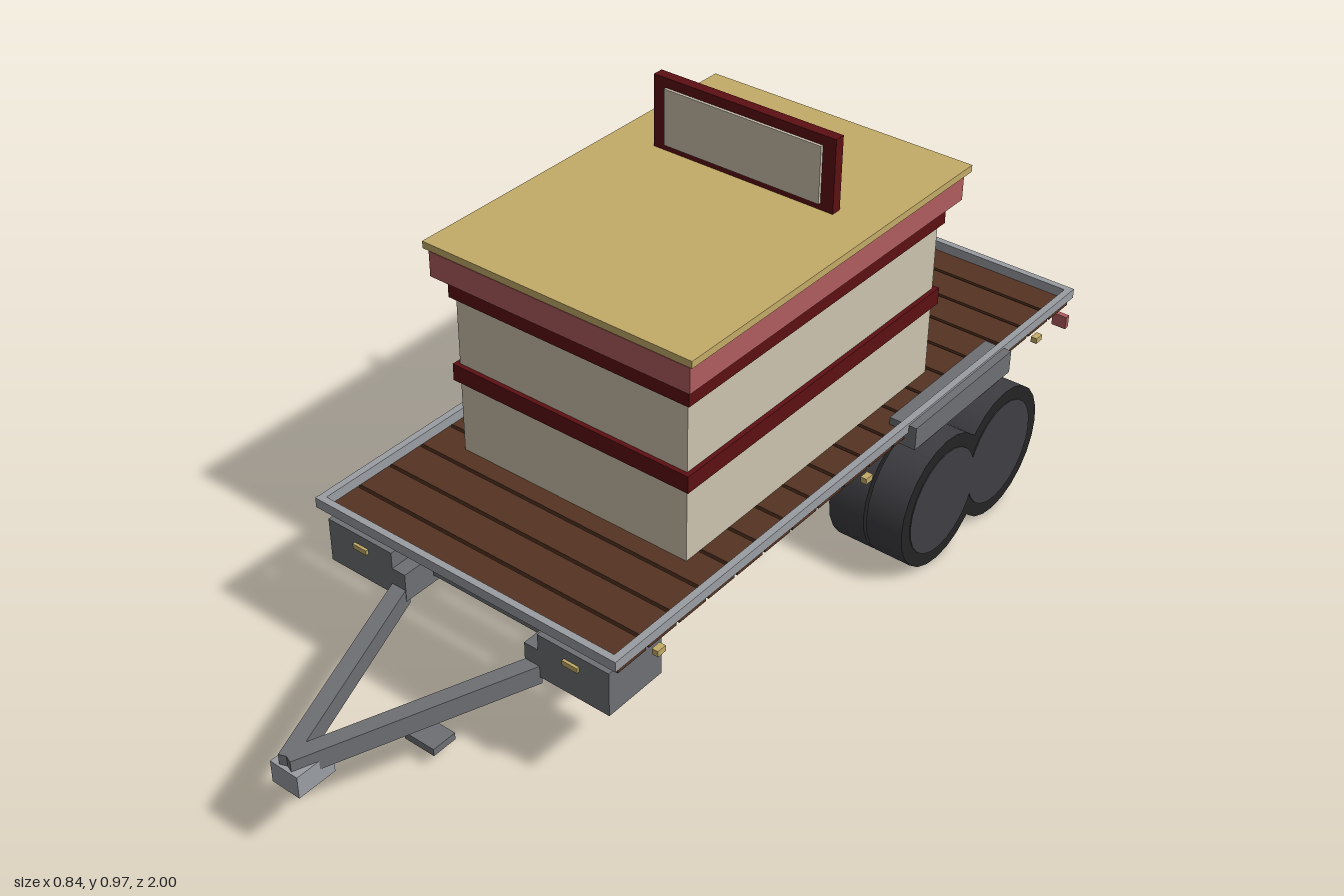
import * as THREE from 'three';

const mat = (name, color) => {
  const m = new THREE.MeshStandardMaterial({ color });
  m.name = name;
  return m;
};

export function createModel() {
  const root = new THREE.Group();
  root.name = 'trailerWithBooth';
  const cream = mat('cream', 0xcdc3ae), tan = mat('tan', 0xc4ac68);
  const maroon = mat('maroon', 0x5c0f12), pink = mat('dustyRed', 0xb05c5e);
  const wood = mat('wood', 0x553422), steel = mat('steel', 0x6e6f74);
  const pale = mat('paleSteel', 0x9a9da2), rubber = mat('rubber', 0x3e3e43);
  const black = mat('blackRubber', 0x232325);

  // Box given by its min and max on each axis
  const box = (name, m, x0, x1, y0, y1, z0, z1) => {
    const mesh = new THREE.Mesh(new THREE.BoxGeometry(x1 - x0, y1 - y0, z1 - z0), m);
    mesh.position.set((x0 + x1) / 2, (y0 + y1) / 2, (z0 + z1) / 2);
    mesh.name = name;
    root.add(mesh);
    return mesh;
  };
  const wide = (name, m, hx, y0, y1, z0, z1) => box(name, m, -hx, hx, y0, y1, z0, z1);
  // The same box on both sides
  const pair = (name, m, x0, x1, ...r) => {
    box(name + 'Left', m, x0, x1, ...r);
    box(name + 'Right', m, -x1, -x0, ...r);
  };

  // Plank deck with a pale rim
  for (let i = 0; i < 18; i++) {
    const z = -0.985 + i * 0.085;
    wide('deckPlank', wood, 0.358, 0.314, 0.333, z + 0.004, z + 0.081);
  }
  pair('sideRail', pale, 0.352, 0.367, 0.333, 0.355, -0.987, 0.558);
  wide('frontRail', pale, 0.352, 0.333, 0.355, 0.543, 0.558);
  wide('rearRail', pale, 0.352, 0.333, 0.355, -0.987, -0.972);

  // Chassis beams and crossmembers
  pair('chassisBeam', steel, 0.148, 0.186, 0.212, 0.275, -0.993, 0.55);
  for (let i = 0; i < 8; i++) {
    const z = 0.463 - i * 0.193;
    wide('crossmember', steel, 0.189, 0.229, 0.255, z - 0.014, z + 0.014);
  }
  pair('toolbox', steel, 0.18, 0.345, 0.213, 0.311, 0.405, 0.55);
  pair('fender', steel, 0.322, 0.385, 0.298, 0.35, -0.7, -0.345);

  // V-shaped drawbar, coupler and jack foot
  for (const s of [-1, 1]) {
    const bar = new THREE.Mesh(new THREE.BoxGeometry(0.032, 0.042, Math.hypot(0.17, 0.45)), steel);
    bar.position.set(s * 0.085, 0.217, 0.765);
    bar.rotation.y = -s * Math.atan2(0.17, 0.45);
    bar.name = 'drawbar';
    root.add(bar);
  }
  wide('coupler', pale, 0.033, 0.167, 0.215, 0.915, 1);
  wide('jackFoot', steel, 0.037, 0.031, 0.047, 0.628, 0.685);

  // Dual wheels on two axle lines
  const R = 0.148;
  const tyreGeo = new THREE.CylinderGeometry(R, R, 0.084, 24).rotateZ(Math.PI / 2);
  const faceGeo = new THREE.CylinderGeometry(0.118, 0.118, 0.088, 24).rotateZ(Math.PI / 2);
  for (const s of [-1, 1]) for (const x of [0.284, 0.375]) for (const z of [-0.414, -0.63]) {
    const wheel = new THREE.Group();
    wheel.name = 'wheel';
    const tyre = new THREE.Mesh(tyreGeo, [rubber, black, black]);
    tyre.name = 'tyre';
    const face = new THREE.Mesh(faceGeo, rubber);
    face.name = 'wheelFace';
    wheel.add(tyre, face);
    wheel.position.set(s * x, R, z);
    root.add(wheel);
  }

  // Marker lamps
  pair('frontLamp', tan, 0.242, 0.277, 0.278, 0.289, 0.55, 0.556);
  for (const z of [0.43, -0.215, -0.855])
    pair('sideLamp', tan, 0.352, 0.366, 0.286, 0.299, z - 0.011, z + 0.011);
  pair('tailLamp', pink, 0.323, 0.357, 0.247, 0.277, -1, -0.988);

  // Booth: walls, trim bands, cornice and roof
  wide('boothWalls', cream, 0.275, 0.333, 0.7, -0.546, 0.246);
  wide('middleBand', maroon, 0.285, 0.498, 0.535, -0.556, 0.256);
  wide('upperBand', maroon, 0.285, 0.685, 0.714, -0.556, 0.256);
  wide('cornice', pink, 0.305, 0.734, 0.788, -0.58, 0.28);
  wide('roof', tan, 0.314, 0.794, 0.809, -0.592, 0.286);

  // Rooftop sign board
  wide('signFrame', maroon, 0.214, 0.809, 0.966, -0.288, -0.265);
  wide('signPanel', cream, 0.185, 0.823, 0.945, -0.266, -0.259);

  // Crate behind the booth
  wide('crate', wood, 0.076, 0.333, 0.5, -0.765, -0.615);
  return root;
}
